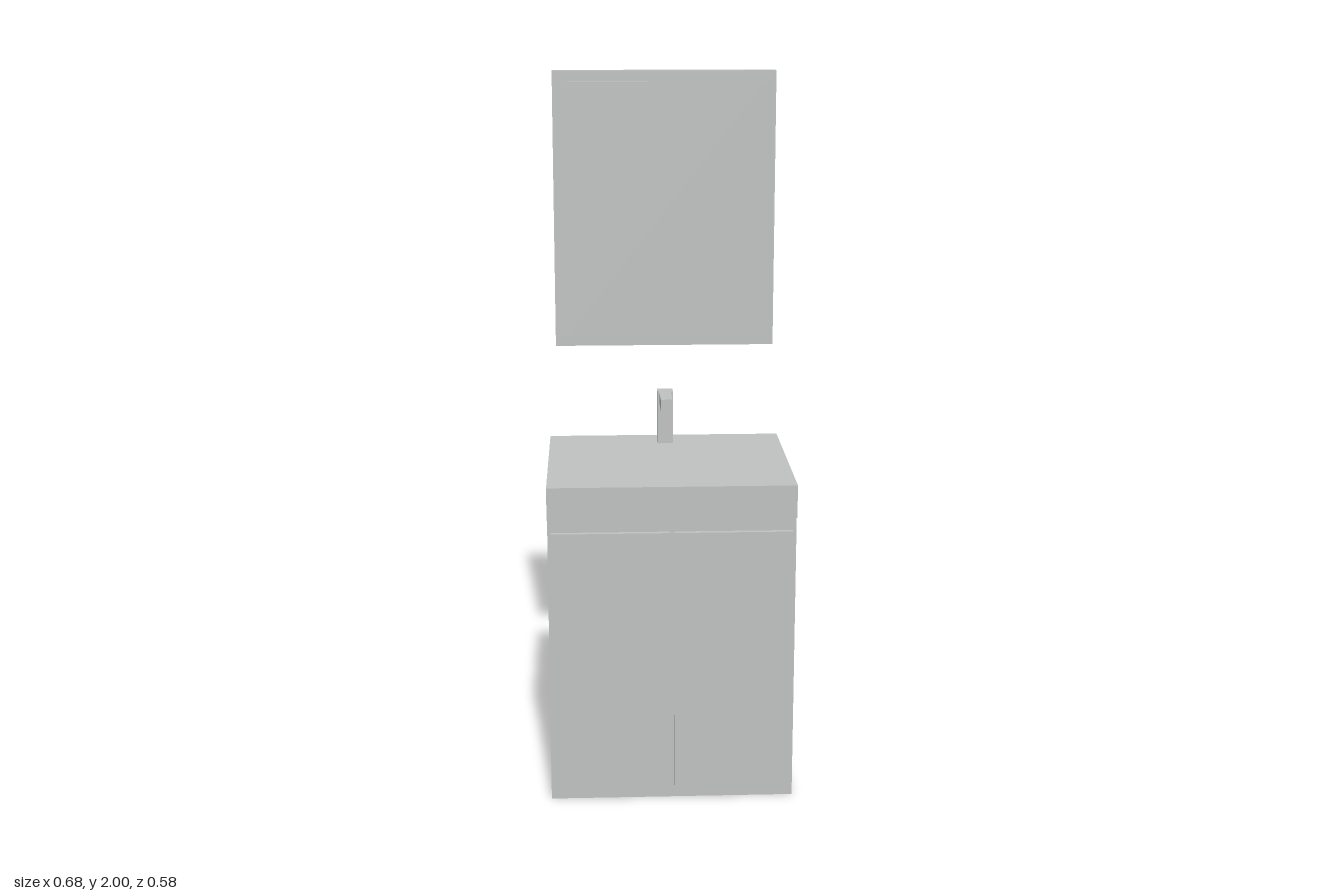
import * as THREE from 'three';

export function createModel() {
  const model = new THREE.Group();
  model.name = 'washstand';
  const grey = new THREE.MeshStandardMaterial({ name: 'plain grey', color: 0xc0c2c1 });

  // Box given by its limits along each axis
  function block(name, [x0, x1], [y0, y1], [z0, z1], parent = model) {
    const mesh = new THREE.Mesh(new THREE.BoxGeometry(x1 - x0, y1 - y0, z1 - z0), grey);
    mesh.name = name;
    mesh.position.set((x0 + x1) / 2, (y0 + y1) / 2, (z0 + z1) / 2);
    parent.add(mesh);
  }
  function group(name) {
    const g = new THREE.Group();
    g.name = name;
    model.add(g);
    return g;
  }

  // Cabinet with two doors and an overhanging counter
  const vanity = group('vanity');
  block('cabinet', [-0.341, 0.341], [0, 0.825], [-0.278, 0.273], vanity);
  block('leftDoor', [0.006, 0.331], [0.036, 0.788], [0.273, 0.287], vanity);
  block('rightDoor', [-0.331, -0.006], [0.036, 0.788], [0.273, 0.287], vanity);
  block('counter', [-0.342, 0.342], [0.825, 0.917], [-0.289, 0.28], vanity);

  // Square tap
  const tap = group('tap');
  block('tapPost', [-0.023, 0.023], [0.917, 1.074], [-0.23, -0.188], tap);
  block('tapSpout', [-0.017, 0.017], [1.042, 1.074], [-0.188, -0.084], tap);

  // Wall mirror: backing box with a raised glass panel
  const mirror = group('mirror');
  block('mirrorFrame', [-0.32, 0.32], [1.205, 2], [-0.278, -0.233], mirror);
  block('mirrorGlass', [-0.285, 0.285], [1.237, 1.969], [-0.233, -0.223], mirror);

  return model;
}
